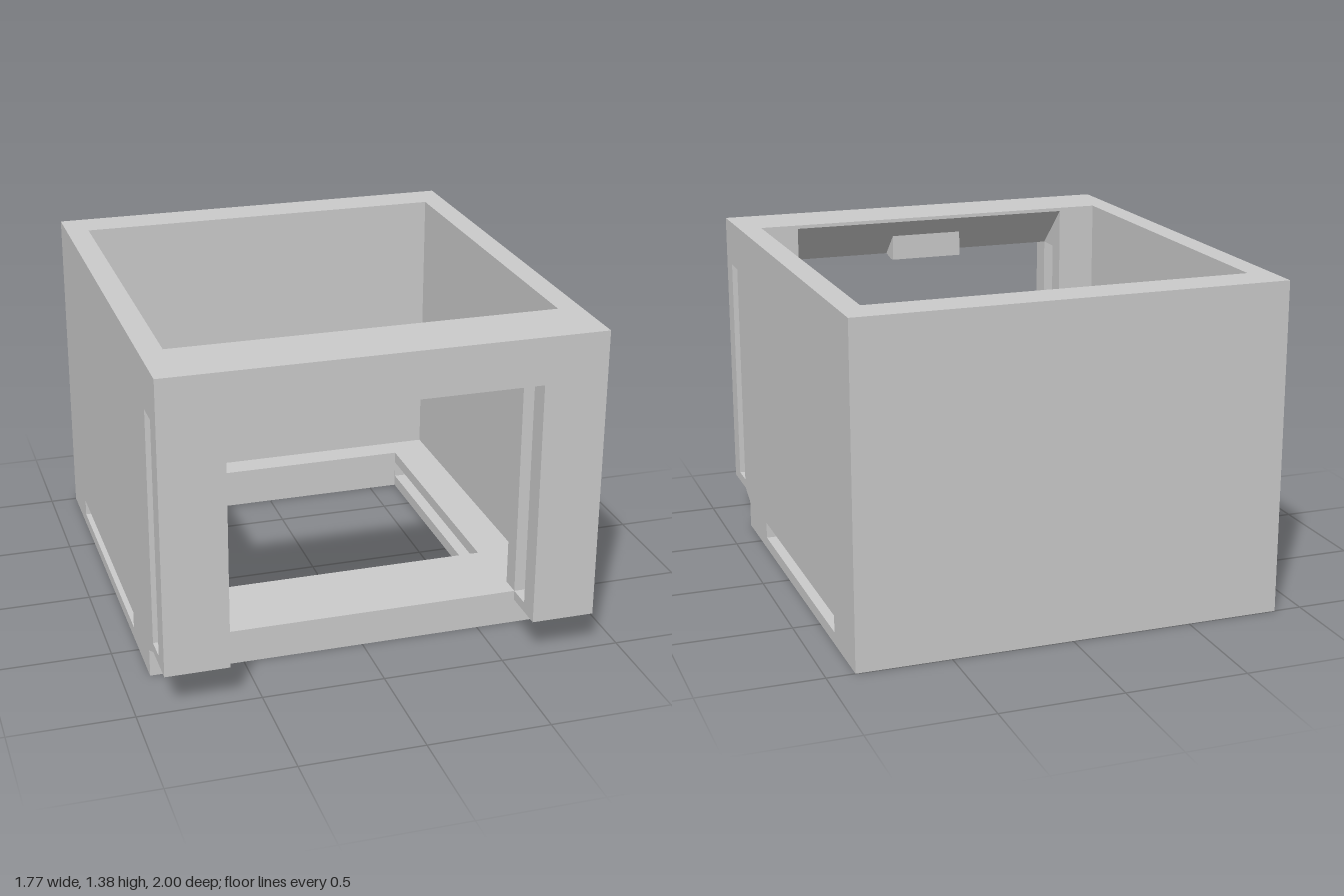
import * as THREE from 'three';

const material = new THREE.MeshStandardMaterial({ color: 0xcccccc, flatShading: true });

// corner points [z, y] of a rectangle
const rect = (z0, z1, y0, y1) => [[z0, y0], [z1, y0], [z1, y1], [z0, y1]];
const points = (list) => list.map(([z, y]) => new THREE.Vector2(z, y));

// side profile in (z, y), extruded across x from x0 to x1
function slab(name, profile, x0, x1, holes = []) {
  const shape = new THREE.Shape(points(profile));
  holes.forEach((h) => shape.holes.push(new THREE.Path(points(h))));
  const geometry = new THREE.ExtrudeGeometry(shape, { depth: x1 - x0, bevelEnabled: false });
  geometry.rotateY(-Math.PI / 2).translate(x1, 0, 0);
  const mesh = new THREE.Mesh(geometry, material);
  mesh.name = name;
  return mesh;
}

export function createModel() {
  const group = new THREE.Group();
  group.name = 'slottedHousing';

  const outer = 0.885, inner = 0.79, gap = 0.625;
  const height = 1.375, floorTop = 0.17;
  const frontSlot = rect(0.8, 0.905, 0.195, 1.18);
  const floorSlot = rect(-0.71, 0.4, 0.05, 0.12);

  const wallProfile = [
    [0.715, 0], [0.715, 0.115], [0.8, 0.155], [1, 0.155],
    [1, height], [-1, height], [-1, 0],
  ];
  const postProfile = [
    [0.715, 0.145], [0.8, 0.155], [1, 0.155], [1, height], [0.715, height],
  ];

  // side walls, front posts and floor rails, mirrored
  for (const [side, s] of [['left', 1], ['right', -1]]) {
    const add = (part, profile, a, b, holes) =>
      group.add(slab(side + part, profile, s > 0 ? a : -b, s > 0 ? b : -a, holes));
    add('Wall', wallProfile, inner, outer, [frontSlot, floorSlot]);
    add('FrontPost', postProfile, gap, inner, [frontSlot]);
    add('FloorRail', rect(-0.715, 0.4, 0, floorTop), gap, inner, [floorSlot]);
  }

  // back wall and the floor in front of and behind the opening
  group.add(slab('backWall', rect(-1, -0.83, 0, height), -inner, inner));
  group.add(slab('floorBack', rect(-0.83, -0.715, 0, floorTop), -inner, inner));
  group.add(slab('floorFront', rect(0.39, 0.715, 0, floorTop), -inner, inner));

  // sill and sloped lintel of the front opening
  group.add(slab('sill',
    [[0.715, 0.145], [0.8, 0.155], [0.8, 0.195], [0.715, 0.195]], -gap, gap));
  group.add(slab('lintel',
    [[0.715, 1.36], [0.905, 1.18], [1, 1.18], [1, height], [0.715, height]], -gap, gap));

  // small retaining tab under the lintel
  group.add(slab('retainingTab',
    [[0.8, 1.17], [0.83, 1.167], [0.905, 1.18], [0.8, 1.285]], -0.16, 0.16));

  return group;
}
